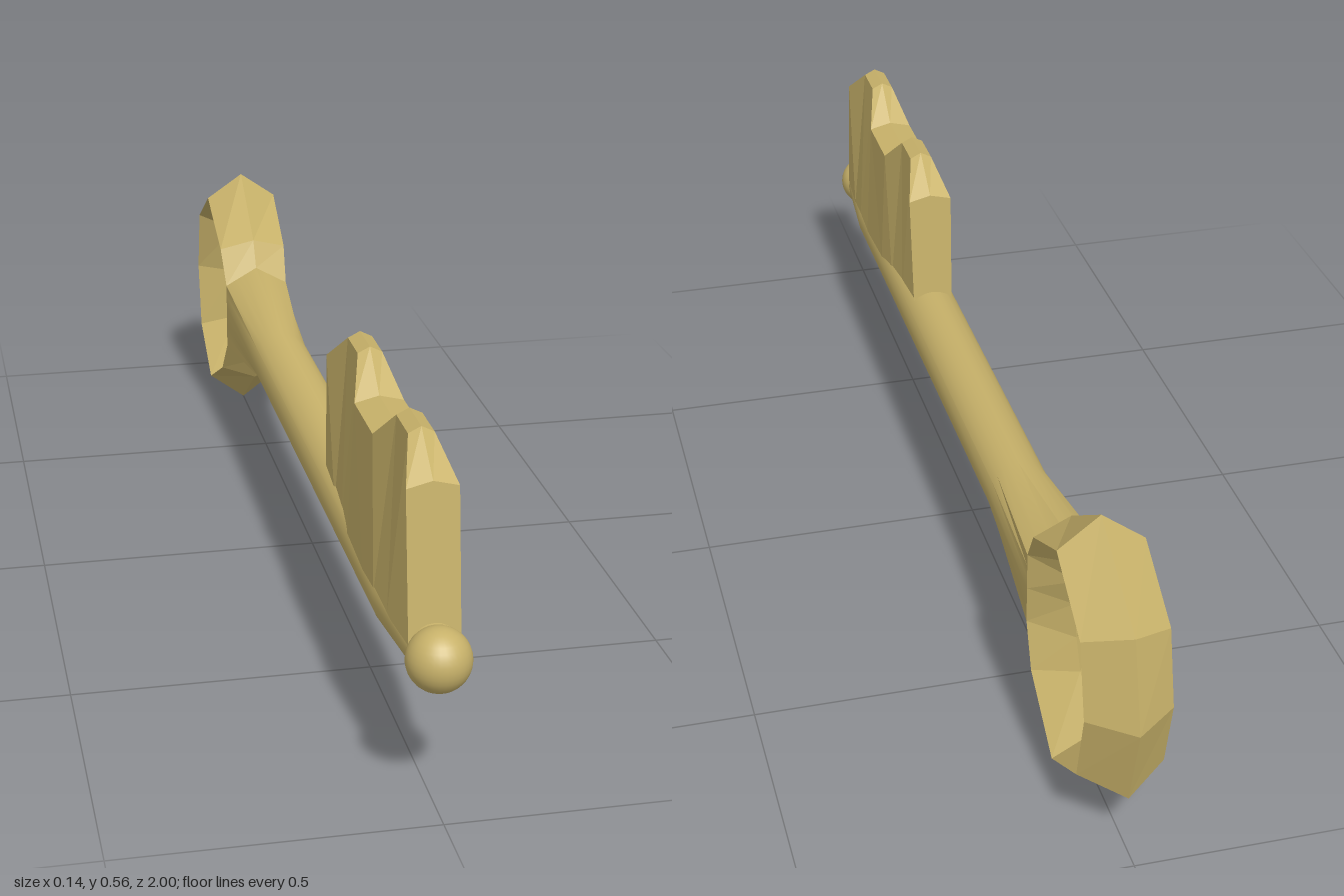
import * as THREE from 'three';
import { toCreasedNormals } from 'three/addons/utils/BufferGeometryUtils.js';

const AXIS_Y = 0.255;

// Skin a row of equal-length cross-sections (lists of [x, y, z]).
function loft(sections, { loop = false, caps = false } = {}) {
  const n = sections[0].length, m = sections.length;
  const pos = sections.flat(2), idx = [];
  for (let i = 0; i < (loop ? m : m - 1); i++) {
    for (let j = 0; j < n; j++) {
      const a = i * n + j, b = i * n + (j + 1) % n;
      const k = ((i + 1) % m) * n, c = k + (j + 1) % n, d = k + j;
      idx.push(a, b, c, a, c, d);
    }
  }
  if (caps) {
    for (const s of [0, m - 1]) {
      const centre = pos.length / 3;
      for (let q = 0; q < 3; q++) pos.push(sections[s].reduce((t, p) => t + p[q], 0) / n);
      for (let j = 0; j < n; j++) {
        const a = s * n + j, b = s * n + (j + 1) % n;
        idx.push(centre, s ? a : b, s ? b : a);
      }
    }
  }
  const g = new THREE.BufferGeometry();
  g.setAttribute('position', new THREE.Float32BufferAttribute(pos, 3));
  g.setIndex(idx);
  return g;
}

// Round section, 24 points
const circle = (r, z) => Array.from({ length: 24 }, (_, j) => {
  const t = j * Math.PI / 12;
  return [r * Math.cos(t), AXIS_Y + r * Math.sin(t), z];
});

// Pointed hexagon sampled with the same 24 points, to meet the ring
function hexagon(w, side, tip, z) {
  const corners = [[w, 0, 0], [w, side, 3], [0, tip, 6], [-w, side, 9], [-w, -side, 15], [0, -tip, 18], [w, -side, 21], [w, 0, 24]];
  return Array.from({ length: 24 }, (_, j) => {
    const k = corners.findIndex(c => c[2] > j);
    const a = corners[k - 1], b = corners[k], t = (j - a[2]) / (b[2] - a[2]);
    return [a[0] + (b[0] - a[0]) * t, AXIS_Y + a[1] + (b[1] - a[1]) * t, z];
  });
}

// Octagonal ring with a diamond section: outer ridge, side edges, inner ridge
function ringGeometry() {
  // [outer z, outer dy, side z, side dy, inner z, inner dy, half width]
  const upper = [
    [-0.60, 0.10, -0.60, 0.065, -0.675, 0.055, 0.062],
    [-0.63, 0.15, -0.645, 0.13, -0.70, 0.105, 0.066],
    [-0.78, 0.25, -0.785, 0.20, -0.79, 0.155, 0.07],
    [-0.96, 0.15, -0.915, 0.125, -0.88, 0.10, 0.07],
  ];
  const back = [-1, 0, -0.945, 0, -0.895, 0, 0.07];
  const front = [-0.60, 0, -0.60, 0, -0.66, 0, 0.062];
  const lower = upper.map(s => s.map((v, i) => (i % 2 ? -v : v))).reverse();
  const stations = [front, ...upper, back, ...lower];
  return loft(stations.map(([oz, oy, sz, sy, iz, iy, w]) => [
    [0, AXIS_Y + oy, oz], [w, AXIS_Y + sy, sz], [0, AXIS_Y + iy, iz], [-w, AXIS_Y + sy, sz],
  ]), { loop: true });
}

// Toothed blade: [top z, base z, ridge y, half width at top, half width at base]
function bitGeometry() {
  const stations = [
    [0.325, 0.308, 0.51, 0.04, 0.037],
    [0.40, 0.40, 0.565, 0.02, 0.041],
    [0.475, 0.475, 0.565, 0.02, 0.045],
    [0.545, 0.545, 0.508, 0.04, 0.051],
    [0.675, 0.675, 0.508, 0.04, 0.053],
    [0.745, 0.745, 0.565, 0.02, 0.052],
    [0.82, 0.82, 0.565, 0.02, 0.048],
    [0.895, 0.925, 0.51, 0.04, 0.04],
  ];
  return loft(stations.map(([tz, bz, y, wt, wb]) => [
    [wb, 0.265, bz], [wt, y - 0.01, tz], [0, y, tz], [-wt, y - 0.01, tz], [-wb, 0.265, bz],
  ]), { caps: true });
}

export function createModel() {
  const group = new THREE.Group();
  const color = 0xc8b26a;
  const smooth = new THREE.MeshStandardMaterial({ color });
  const faceted = new THREE.MeshStandardMaterial({ color, flatShading: true });
  const add = (name, geometry, material) => {
    if (!geometry.attributes.normal) geometry.computeVertexNormals();
    const mesh = new THREE.Mesh(geometry, material);
    mesh.name = name;
    group.add(mesh);
    return mesh;
  };

  // Round shaft, flared at the back and tapered at the tip
  const shaft = loft([
    hexagon(0.062, 0.065, 0.10, -0.60), circle(0.055, -0.32),
    circle(0.055, 0.75), circle(0.041, 0.925),
  ], { caps: true });
  add('shaft', toCreasedNormals(shaft, Math.PI / 6), smooth);

  add('bowRing', ringGeometry(), faceted);
  add('bit', bitGeometry(), faceted);

  // Ball on the tip
  add('tipBall', new THREE.SphereGeometry(0.05, 32, 16), smooth).position.set(0, 0.252, 0.95);
  return group;
}
